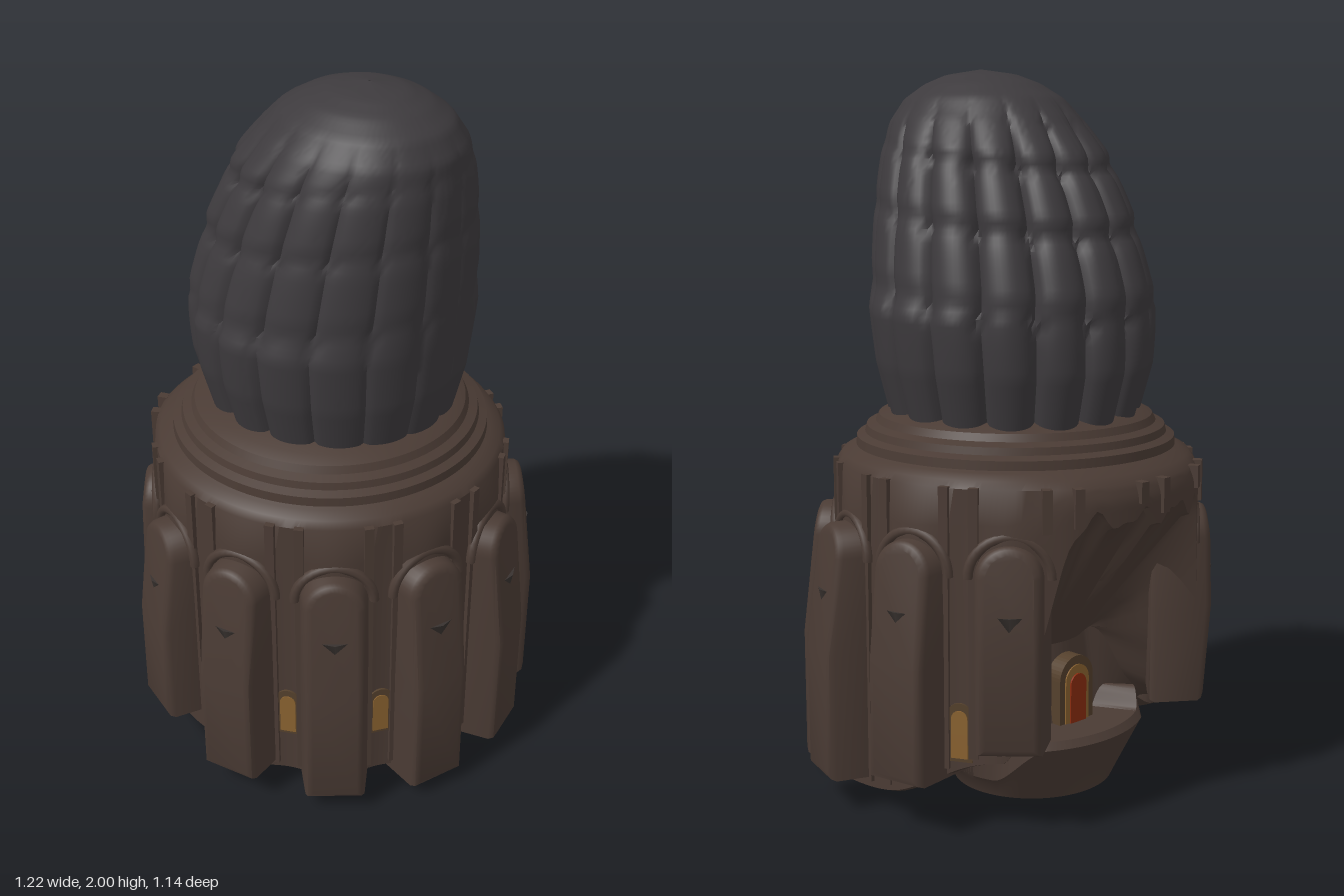
import * as THREE from 'three';
import { mergeVertices, toCreasedNormals } from 'three/addons/utils/BufferGeometryUtils.js';

const { lerp, smoothstep, degToRad } = THREE.MathUtils;
const CZ = -0.04; // centre of the drum in z
const paint = (color) => new THREE.MeshStandardMaterial({ color, side: THREE.DoubleSide });
const STONE = paint(0x4a3b34);
const DARK = paint(0x38322f);
const SPIRE = paint(0x3d3a3d);
const SCORCH = paint(0x54402c);
const GLOW = paint(0x8a6230);
const FIRE = paint(0x8a2c10);

// Surface of stacked rings: fn(theta, row) -> [x, y, z], rows from bottom to top
function ringSurface(segments, rows, fn) {
  const pos = [], idx = [];
  for (let j = 0; j < rows; j++)
    for (let i = 0; i < segments; i++) pos.push(...fn((i / segments) * Math.PI * 2, j));
  for (let j = 0; j < rows - 1; j++)
    for (let i = 0; i < segments; i++) {
      const a = j * segments + i, b = j * segments + ((i + 1) % segments);
      idx.push(a, b, b + segments, a, b + segments, a + segments);
    }
  const g = new THREE.BufferGeometry();
  g.setAttribute('position', new THREE.Float32BufferAttribute(pos, 3));
  g.setIndex(idx);
  g.computeVertexNormals();
  return g;
}

// Angle away from the back, in degrees
const fromBack = (t) => 180 - Math.abs(THREE.MathUtils.radToDeg(Math.atan2(Math.sin(t), Math.cos(t))));

// Lower rim of the wall: level in front, rising to the sides, broken open at the back
function rimHeight(t) {
  const b = fromBack(t);
  const rise = 0.05 + 0.15 * (1 - smoothstep(b, 45, 95));
  const jag = 0.02 * Math.sin(t * 23) + 0.012 * Math.sin(t * 41);
  const open = 1 - smoothstep(b, 24, 47);
  return rise + open * (0.63 + jag);
}

// Wall radius: swells towards each buttress, leans in at the top, flares over the broken back
function wallRadius(t, y) {
  const back = 1 - smoothstep(fromBack(t), 25, 50);
  const swell = 0.012 * (1 - Math.cos(t * 12)) * (1 - smoothstep(y, 0.7, 0.95));
  return 0.502 + swell * (1 - back) + 0.025 * back * (1 - smoothstep(y, 0.88, 0.97));
}

// Outline of the drum at one angle, from the centre underneath to the top of the cornice
function drumOutline(t) {
  const b = fromBack(t), w = 1 - smoothstep(b, 30, 55), y0 = rimHeight(t);
  const base = 0.22 - 0.08 * Math.cos(t);
  const mix = (r0, h0, r1, h1) => [lerp(r0, r1, w), lerp(h0, h1, w)];
  const apex = mix(0.36, y0 + 0.02, 0.2, 0.42), edge = wallRadius(t, y0) - 0.025;
  const pts = [
    [0.001, 0], [base * 0.7, 0.005], [base, 0.01],
    mix(base + 0.02, 0.05, 0.33, 0.09), mix(base + 0.04, 0.07, 0.375, 0.18),
    mix(0.31, y0 + 0.02, 0.36, 0.2), mix(0.33, y0 + 0.02, 0.23, 0.2), apex,
  ];
  // ridged fan between the chamber and the broken rim
  for (let k = 1; k < 6; k++) {
    const f = k / 6, ray = 0.012 * w * Math.sin(Math.PI * f) * Math.sin(t * 36);
    pts.push([lerp(apex[0], edge, f) + ray, lerp(apex[1], y0, f) + ray]);
  }
  pts.push([edge, y0]);
  for (let k = 0; k < 9; k++) {
    const y = lerp(y0 + 0.01, 0.93, k / 8);
    pts.push([wallRadius(t, y), y]);
  }
  pts.push([0.488, 0.95], [0.46, 0.965], [0.45, 0.97], [0.448, 0.995], [0.425, 1.005], [0.42, 1.025],
    [0.395, 1.035], [0.385, 1.055], [0.355, 1.07], [0.3, 1.085]);
  return pts;
}

function makeDrum() {
  const rows = drumOutline(0).length;
  return toCreasedNormals(ringSurface(216, rows, (t, j) => {
    const [r, y] = drumOutline(t)[j];
    return [r * Math.sin(t), y, CZ + r * Math.cos(t)];
  }), 0.6);
}

// Spire sections: y, front z, back z, half width
const SECTIONS = [
  [1.05, 0.30, -0.39, 0.33], [1.2, 0.335, -0.43, 0.37], [1.35, 0.35, -0.44, 0.39], [1.42, 0.355, -0.425, 0.37],
  [1.6, 0.36, -0.37, 0.34], [1.78, 0.355, -0.285, 0.29], [1.86, 0.345, -0.23, 0.25], [1.92, 0.31, -0.17, 0.205],
  [1.96, 0.25, -0.1, 0.15], [1.985, 0.19, -0.03, 0.09], [2.0, 0.082, 0.078, 0.002],
];
function sectionAt(y) {
  let k = 0;
  while (k < SECTIONS.length - 2 && y > SECTIONS[k + 1][0]) k++;
  const a = SECTIONS[k], b = SECTIONS[k + 1], f = (y - a[0]) / (b[0] - a[0]);
  return [1, 2, 3].map((n) => lerp(a[n], b[n], f));
}

// Tiers of soft round-topped petals, strongest on the back, with a groove between tiers
const TIERS = [1.0, 1.39, 1.6, 1.77, 1.9, 2.1];
function petal(t, y) {
  const h = y - 0.05 * Math.cos(t);
  let k = 0;
  while (k < TIERS.length - 2 && h > TIERS[k + 1]) k++;
  const s = Math.max(0, (h - TIERS[k]) / (TIERS[k + 1] - TIERS[k]));
  const lobe = Math.abs(Math.cos(t * 8));
  const amp = 0.05 * (0.25 + 0.37 * (1 - Math.cos(t))) * (1 - smoothstep(y, 1.7, 1.95));
  const groove = k > 0 ? 0.3 * (1 - smoothstep(s, 0, 0.3)) : 0;
  return amp * (Math.sqrt(Math.max(0, lobe - 0.45 * s ** 6)) - 0.6 - groove);
}

function makeSpire() {
  const rows = 72;
  return toCreasedNormals(ringSurface(192, rows, (t, j) => {
    const f = j / (rows - 1), y = 1.05 + 0.95 * Math.sin((f * Math.PI) / 2) ** 1.15;
    const [zf, zb, hw] = sectionAt(y), p = petal(t, y);
    return [0.02 + (hw + p) * Math.sin(t), y, (zf + zb) / 2 + ((zf - zb) / 2 + p) * Math.cos(t)];
  }), 0.9);
}

// Round-topped slab standing from y = bottom to y = top, facing +z
function archGeometry(width, bottom, top, depth, bevel = 0) {
  const h = width / 2 - bevel, s = new THREE.Shape();
  s.moveTo(-h, bottom + bevel);
  s.lineTo(h, bottom + bevel);
  s.lineTo(h, (bottom + top) / 2);
  s.lineTo(h, top - width / 2);
  s.absarc(0, top - width / 2, h, 0, Math.PI, false);
  s.lineTo(-h, (bottom + top) / 2);
  s.closePath();
  return new THREE.ExtrudeGeometry(s, {
    depth, curveSegments: 10, bevelEnabled: bevel > 0, bevelSize: bevel, bevelThickness: bevel, bevelSegments: 2,
  });
}

// Buttress: leans in towards the top, spreads where it meets the wall; worn cuts back its foot
function buttressGeometry(bottom, reach, worn) {
  const g = archGeometry(0.165, bottom, 0.79, reach - 0.42, 0.02);
  const p = g.attributes.position;
  for (let i = 0; i < p.count; i++) {
    const y = p.getY(i), outer = THREE.MathUtils.clamp(p.getZ(i) / (reach - 0.4), 0, 1);
    p.setZ(i, p.getZ(i) - outer * (Math.max(0, y - 0.45) * 0.13 + Math.max(0, 0.7 - y) * worn));
    p.setX(i, p.getX(i) * (1 + 0.3 * (1 - outer)));
  }
  g.deleteAttribute('normal');
  g.deleteAttribute('uv');
  return toCreasedNormals(mergeVertices(g, 1e-4), 0.7);
}

export function createModel() {
  const model = new THREE.Group();
  const add = (parent, name, geometry, material, x = 0, y = 0, z = 0) => {
    const m = new THREE.Mesh(geometry, material);
    m.name = name;
    m.position.set(x, y, z);
    parent.add(m);
    return m;
  };
  // Group turned to face outwards at an angle around the drum
  const bay = (name, degrees) => {
    const g = new THREE.Group();
    g.name = name;
    g.position.z = CZ;
    g.rotation.y = degToRad(degrees);
    model.add(g);
    return g;
  };

  add(model, 'drum', makeDrum(), STONE);
  add(model, 'spire', makeSpire(), SPIRE);

  // Buttresses with arched hoods and pointed pendants: angle, foot height, reach, wear
  const kinds = [[15, 0.04, 0.605, 0], [45, 0.05, 0.605, 0], [75, 0.09, 0.615, 0], [105, 0.15, 0.605, 0], [135, 0.23, 0.585, 0.1]];
  for (const [angle, bottom, reach, worn] of kinds)
    for (const side of [1, -1]) {
      const g = bay('buttressBay', side * angle);
      add(g, 'buttress', buttressGeometry(bottom, reach, worn), STONE, 0, 0, 0.4);
      add(g, 'archHood', new THREE.TorusGeometry(0.108, 0.014, 8, 18, Math.PI), STONE, 0, 0.7, 0.505);
      const pendant = add(g, 'pendant', new THREE.ConeGeometry(0.05, 0.08, 4), DARK, 0, 0.57, reach - 0.027 - worn * 0.1);
      pendant.rotation.x = Math.PI;
      pendant.scale.z = 0.3;
    }

  // Pilasters between the buttresses; over the broken back only their tops remain
  for (let a = 0; a < 360; a += 30) {
    const back = fromBack(degToRad(a));
    for (const d of [-4.5, 4.5]) {
      const t = degToRad(a + d), low = Math.max(rimHeight(t) + 0.03, back < 45 ? 0.82 : 0);
      add(bay('pilasterBay', a + d), 'pilaster', new THREE.BoxGeometry(0.026, 0.935 - low, 0.03), STONE,
        0, (0.935 + low) / 2, wallRadius(t, 0.8) - 0.005);
    }
    // Lit niches low in the wall
    if (back > 45) {
      const lit = a !== 0;
      const g = bay('nicheBay', a);
      add(g, 'nicheFrame', archGeometry(0.07, 0.2, 0.36, 0.02), lit ? SCORCH : DARK, 0, 0, 0.488);
      add(g, 'niche', archGeometry(0.045, 0.21, 0.34, 0.005), lit ? GLOW : DARK, 0, 0, 0.506);
    }
  }

  // Doorway in the exposed chamber at the back
  const door = bay('chamberDoor', 180);
  add(door, 'doorFrame', archGeometry(0.13, 0.2, 0.39, 0.05), SCORCH, 0, 0, 0.2);
  add(door, 'doorGlow', archGeometry(0.09, 0.2, 0.365, 0.006), GLOW, 0, 0, 0.248);
  add(door, 'doorFire', archGeometry(0.06, 0.2, 0.34, 0.006), FIRE, 0, 0, 0.253);
  return model;
}
